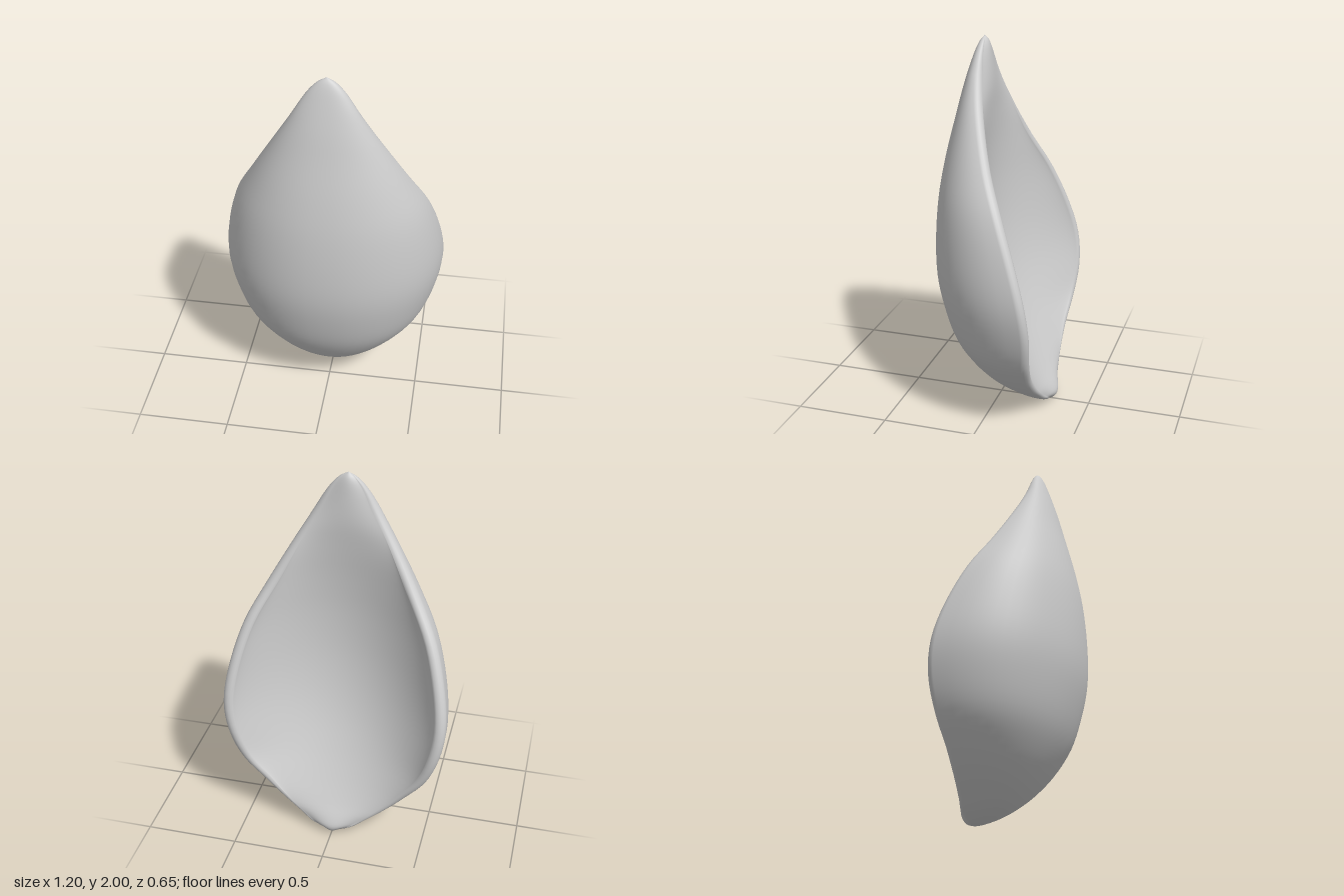
import * as THREE from 'three';

// Height, half width, outer centre z, inner centre z, back-edge z
const PROFILE = [
  [0, 0, -0.26, -0.26, -0.26],
  [0.012, 0.045, -0.2, -0.3, -0.28],
  [0.05, 0.12, -0.11, -0.322, -0.295],
  [0.1, 0.19, -0.03, -0.305, -0.283],
  [0.18, 0.29, 0.06, -0.252, -0.272],
  [0.29, 0.4, 0.15, -0.185, -0.272],
  [0.43, 0.51, 0.23, -0.11, -0.29],
  [0.6, 0.575, 0.285, -0.035, -0.305],
  [0.78, 0.6, 0.318, 0.02, -0.287],
  [0.98, 0.575, 0.322, 0.055, -0.23],
  [1.2, 0.51, 0.305, 0.068, -0.145],
  [1.4, 0.405, 0.27, 0.062, -0.055],
  [1.6, 0.29, 0.222, 0.047, 0.013],
  [1.75, 0.2, 0.185, 0.04, 0.05],
  [1.9, 0.11, 0.14, 0.053, 0.072],
  [1.97, 0.05, 0.113, 0.067, 0.08],
  [2, 0, 0.09, 0.09, 0.09],
];
const ARC = 28, RIM = 6, SUB = 4;

// Slightly squared half ellipse, t running from -1 to 1
function arcPoint(t, halfWidth, base, depth) {
  const a = t * Math.PI / 2, p = 2 / 2.15;
  return [
    Math.sign(t) * halfWidth * Math.pow(Math.abs(Math.sin(a)), p),
    base + depth * Math.pow(Math.max(Math.cos(a), 0), p),
  ];
}

// Closed section: full outer arc, rounded rims, shallow inner face
function section(w, zo, zi, ze) {
  const r = Math.max(0, Math.min(0.035, w * 0.35, (zo - ze) * 0.35));
  const turn = Math.PI * (0.5 + 0.22 * THREE.MathUtils.clamp((zi - ze) / 0.1, 0, 1));
  const base = ze + r, points = [];
  const rim = (side, k) => {
    const a = k / RIM * turn;
    return [side * (w - r + r * Math.cos(a)), base - r * Math.sin(a)];
  };
  for (let i = 0; i <= ARC; i++) points.push(arcPoint(2 * i / ARC - 1, w, base, zo - base));
  for (let k = 1; k < RIM; k++) points.push(rim(1, k));
  const [innerWidth, innerBase] = rim(1, RIM);
  // The hollow has steeper sides; the solid tips bulge gently
  const power = zi > ze ? 0.8 : 1.2;
  for (let i = 0; i <= ARC; i++) {
    const t = Math.cos(i / ARC * Math.PI);
    points.push([t * innerWidth, innerBase + (zi - innerBase) * Math.pow(Math.max(1 - t * t, 0), power)]);
  }
  for (let k = RIM - 1; k > 0; k--) points.push(rim(-1, k));
  return points;
}

function petalGeometry() {
  const spline = (pick) => new THREE.CatmullRomCurve3(
    PROFILE.map((p) => new THREE.Vector3(...pick(p))), false, 'catmullrom', 0.5);
  const outer = spline(([y, w, zo]) => [w, y, zo]);
  const inner = spline(([y, , , zi, ze]) => [ze, y, zi]);
  const rows = (PROFILE.length - 1) * SUB;
  const positions = [], indices = [];
  let n = 0;
  for (let i = 0; i <= rows; i++) {
    const o = outer.getPoint(i / rows), s = inner.getPoint(i / rows);
    const ring = section(Math.max(o.x, 0), o.z, s.z, s.x);
    n = ring.length;
    ring.forEach(([x, z]) => positions.push(x, Math.min(2, Math.max(0, o.y)), z));
  }
  for (let i = 0; i < rows; i++) {
    for (let j = 0; j < n; j++) {
      const a = i * n + j, b = i * n + (j + 1) % n;
      indices.push(a, b, b + n, a, b + n, a + n);
    }
  }
  const geometry = new THREE.BufferGeometry();
  geometry.setAttribute('position', new THREE.Float32BufferAttribute(positions, 3));
  geometry.setIndex(indices);
  geometry.computeVertexNormals();
  return geometry;
}

export function createModel() {
  const group = new THREE.Group();
  group.name = 'cuppedPetal';
  const petal = new THREE.Mesh(petalGeometry(), new THREE.MeshStandardMaterial({ color: 0xcccccc }));
  petal.name = 'petal';
  group.add(petal);
  return group;
}
